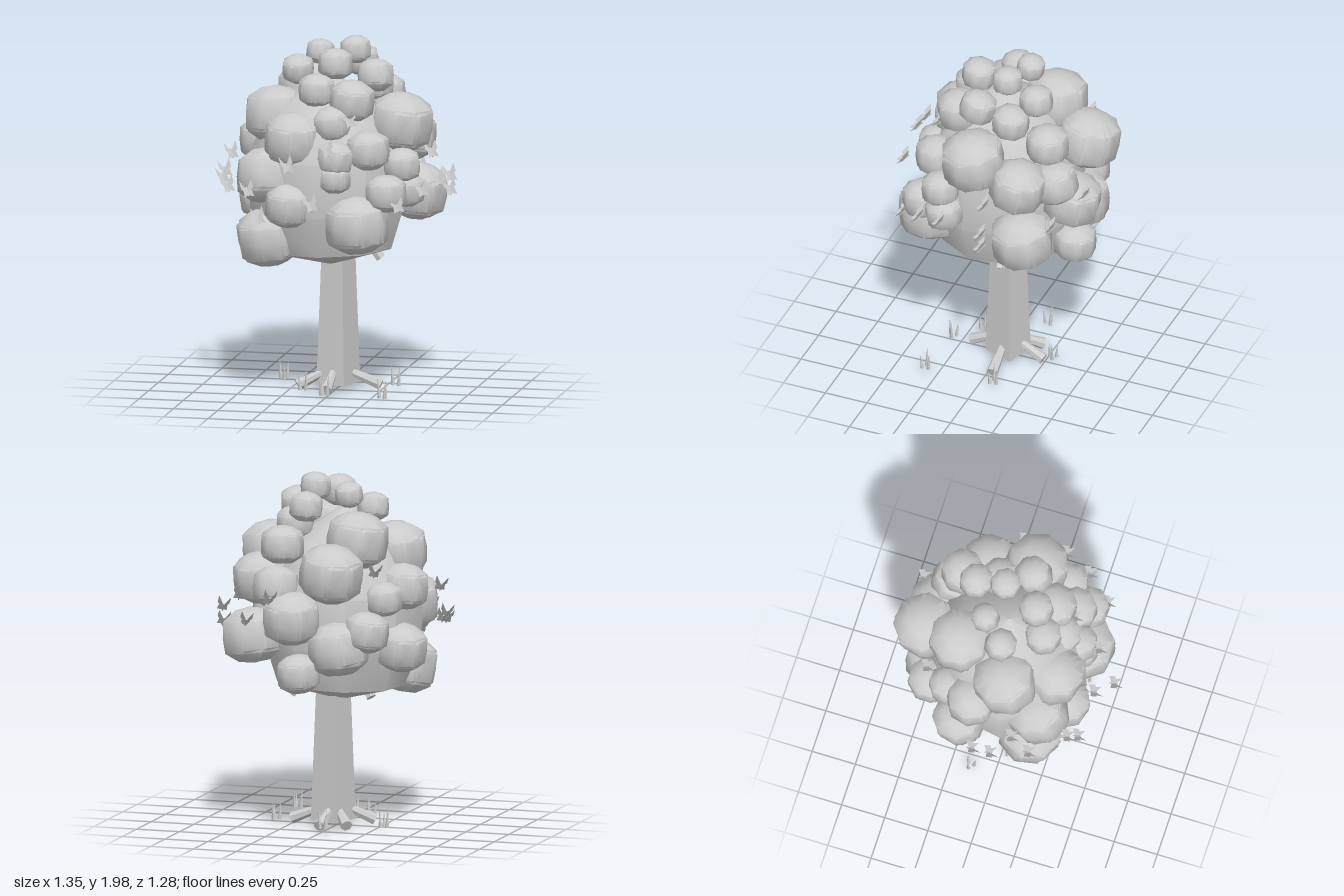
import * as THREE from 'three';
import { toCreasedNormals } from 'three/addons/utils/BufferGeometryUtils.js';

const solid = new THREE.MeshStandardMaterial({ color: 0xcccccc });
const flat = new THREE.MeshStandardMaterial({ color: 0xcccccc, flatShading: true });
const thin = new THREE.MeshStandardMaterial({ color: 0xcccccc, side: THREE.DoubleSide });

// leaf clumps: x, y, z, radius
const upperClumps = [
  [0.1, 1.92, -0.07, 0.082], [0.03, 1.87, 0.13, 0.092], [-0.11, 1.89, -0.12, 0.075], [-0.21, 1.81, 0, 0.085],
  [0.1, 1.83, -0.24, 0.09], [0.24, 1.8, 0.05, 0.098], [-0.06, 1.73, 0.2, 0.098], [0.14, 1.68, 0.2, 0.12],
  [0.2, 1.63, -0.35, 0.115], [-0.2, 1.66, -0.24, 0.165], [-0.32, 1.56, 0.06, 0.17], [0.38, 1.54, 0.02, 0.17],
  [-0.17, 1.47, 0.3, 0.155], [-0.12, 1.5, -0.46, 0.17], [0.25, 1.42, 0.29, 0.115], [0.08, 1.38, 0.36, 0.1],
  [0.2, 1.72, -0.13, 0.1], [0.04, 1.56, 0.28, 0.1],
];
const lowerClumps = [
  [-0.42, 1.39, -0.1, 0.135], [-0.36, 1.34, -0.26, 0.1], [0.36, 1.42, -0.24, 0.15], [0.22, 1.4, -0.4, 0.125],
  [0.42, 1.33, 0.2, 0.1], [-0.33, 1.25, 0.25, 0.165], [0.08, 1.27, 0.38, 0.085], [0.44, 1.19, 0.17, 0.1],
  [0.36, 1.19, 0.33, 0.11], [-0.3, 1.17, -0.38, 0.12], [0.11, 1.24, -0.46, 0.155], [0.4, 1.1, -0.28, 0.165],
  [-0.18, 1.11, 0.37, 0.128], [-0.43, 1.06, -0.17, 0.14], [0.2, 1.01, 0.35, 0.17], [-0.14, 1.07, -0.4, 0.16],
  [0.07, 0.93, -0.46, 0.115], [-0.33, 0.9, 0.21, 0.17],
];
const butterflies = [
  [-0.63, 1.21, -0.04], [-0.62, 1.19, 0.06], [-0.55, 1.35, 0.16], [-0.55, 1.18, 0.26], [-0.4, 1.19, 0.44],
  [-0.33, 1.05, 0.48], [-0.16, 1.35, 0.52], [-0.01, 1.15, 0.59], [0.06, 1.44, 0.48], [0.15, 1.58, 0.31],
  [0.44, 1.13, 0.41], [0.55, 1.2, 0.27], [0.61, 1.24, 0.12], [0.62, 1.14, -0.13], [0.62, 1.22, -0.13],
  [0.52, 1.35, -0.11], [0.38, 1.2, -0.45], [0.2, 1.35, -0.58], [-0.35, 1.5, -0.39], [0.32, 1.5, -0.22],
];

function add(parent, name, geometry, material) {
  const mesh = new THREE.Mesh(geometry, material);
  mesh.name = name;
  parent.add(mesh);
  return mesh;
}

// surface of revolution from [radius, height] pairs listed bottom to top
function turned(profile, sides, crease) {
  const geometry = new THREE.LatheGeometry(profile.map(([r, y]) => new THREE.Vector2(r, y)), sides);
  return toCreasedNormals(geometry, crease);
}

// tapered rod from point a to point b
function rod(parent, name, a, b, ra, rb, sides) {
  const from = new THREE.Vector3(...a), to = new THREE.Vector3(...b);
  const dir = to.clone().sub(from);
  const mesh = add(parent, name, new THREE.CylinderGeometry(rb, ra, dir.length(), sides), flat);
  mesh.position.copy(from).add(to).multiplyScalar(0.5);
  mesh.quaternion.setFromUnitVectors(new THREE.Vector3(0, 1, 0), dir.normalize());
}

function makeClumps(list) {
  const group = new THREE.Group();
  // drum-like ball with upright sides, low crown and flat underside
  const ball = turned([[0, -0.92], [0.55, -0.84], [1, -0.52], [1.04, 0], [0.98, 0.55], [0.55, 0.85], [0, 0.97]], 8, 0.85);
  list.forEach(([x, y, z, r], i) => {
    const clump = new THREE.Group();
    clump.name = 'leafClump';
    clump.position.set(x, y, z);
    clump.scale.setScalar(r);
    clump.rotation.set(0.12 * Math.sin(i * 2.3), i * 1.7, 0.12 * Math.cos(i * 3.1));
    add(clump, 'leafBall', ball, solid);
    // second layer of leaves, slightly tilted so its corners poke out
    add(clump, 'leafLayer', ball, solid).rotation.set(0.1, 0.15, -0.1);
    group.add(clump);
  });
  return group;
}

function makeButterfly() {
  const group = new THREE.Group();
  // one wing with a large upper and a small lower lobe
  const wing = new THREE.Shape();
  wing.moveTo(0, 0.016);
  wing.lineTo(0.044, 0.062);
  wing.lineTo(0.044, 0.006);
  wing.lineTo(0.03, 0);
  wing.lineTo(0.036, -0.05);
  wing.lineTo(0, -0.02);
  const geometry = new THREE.ShapeGeometry(wing);
  for (const side of [-1, 1]) {
    const mesh = add(group, side > 0 ? 'leftWing' : 'rightWing', geometry, thin);
    mesh.scale.x = side;
    mesh.rotation.y = -side * 0.7;
  }
  add(group, 'butterflyBody', new THREE.CylinderGeometry(0.005, 0.004, 0.06, 5), flat);
  return group;
}

export function createModel() {
  const tree = new THREE.Group();
  tree.name = 'tree';

  // square tapered trunk
  const trunk = add(tree, 'trunk', new THREE.CylinderGeometry(0.092, 0.125, 0.85, 4, 1, false, 0.46), flat);
  trunk.position.set(0.01, 0.475, -0.035);

  // roots splayed around the trunk foot
  for (const [x, z] of [[0.25, -0.04], [-0.2, 0.06], [-0.01, 0.19], [0.02, -0.25], [-0.12, -0.19]]) {
    rod(tree, 'root', [x * 0.25, 0.12, z * 0.3 - 0.02], [x, 0.045, z], 0.02, 0.033, 7);
  }

  // branch stubs under the canopy
  rod(tree, 'branchStub', [0.15, 0.87, -0.07], [0.24, 0.75, -0.08], 0.02, 0.03, 6);
  rod(tree, 'branchStub', [-0.14, 0.87, -0.03], [-0.22, 0.75, -0.06], 0.02, 0.03, 6);

  // canopy core
  const profile = [[0, 0.72], [0.36, 0.82], [0.44, 1.05], [0.44, 1.35], [0.31, 1.62], [0, 1.82]];
  add(tree, 'canopyCore', turned(profile, 9, 0.75), solid).rotation.z = 0.03;

  // foliage
  const upper = makeClumps(upperClumps);
  upper.name = 'upperFoliage';
  const lower = makeClumps(lowerClumps);
  lower.name = 'lowerFoliage';
  tree.add(upper, lower);

  // butterflies around the canopy
  butterflies.forEach(([x, y, z]) => {
    const butterfly = makeButterfly();
    butterfly.name = 'butterfly';
    butterfly.position.set(x, y, z);
    butterfly.rotation.set(-0.75, 0.2, 0.4);
    tree.add(butterfly);
  });

  // grass tufts of three blades
  for (const [x, z] of [[0, 0.3], [0.34, 0.32], [0.33, -0.08], [-0.14, 0.17], [-0.02, -0.29], [-0.32, -0.14]]) {
    const tuft = new THREE.Group();
    tuft.name = 'grassTuft';
    for (let i = 0; i < 3; i++) {
      const a = i * 2.1 + x * 9, c = Math.cos(a) * 0.02, s = Math.sin(a) * 0.02;
      rod(tuft, 'grassBlade', [x + c, 0.04, z + s], [x + c * 1.4, 0.15 - i * 0.015, z + s * 1.4], 0.012, 0.001, 4);
    }
    tree.add(tuft);
  }

  // rest the lowest point on the ground
  tree.position.y = -new THREE.Box3().setFromObject(tree, true).min.y;
  return tree;
}
